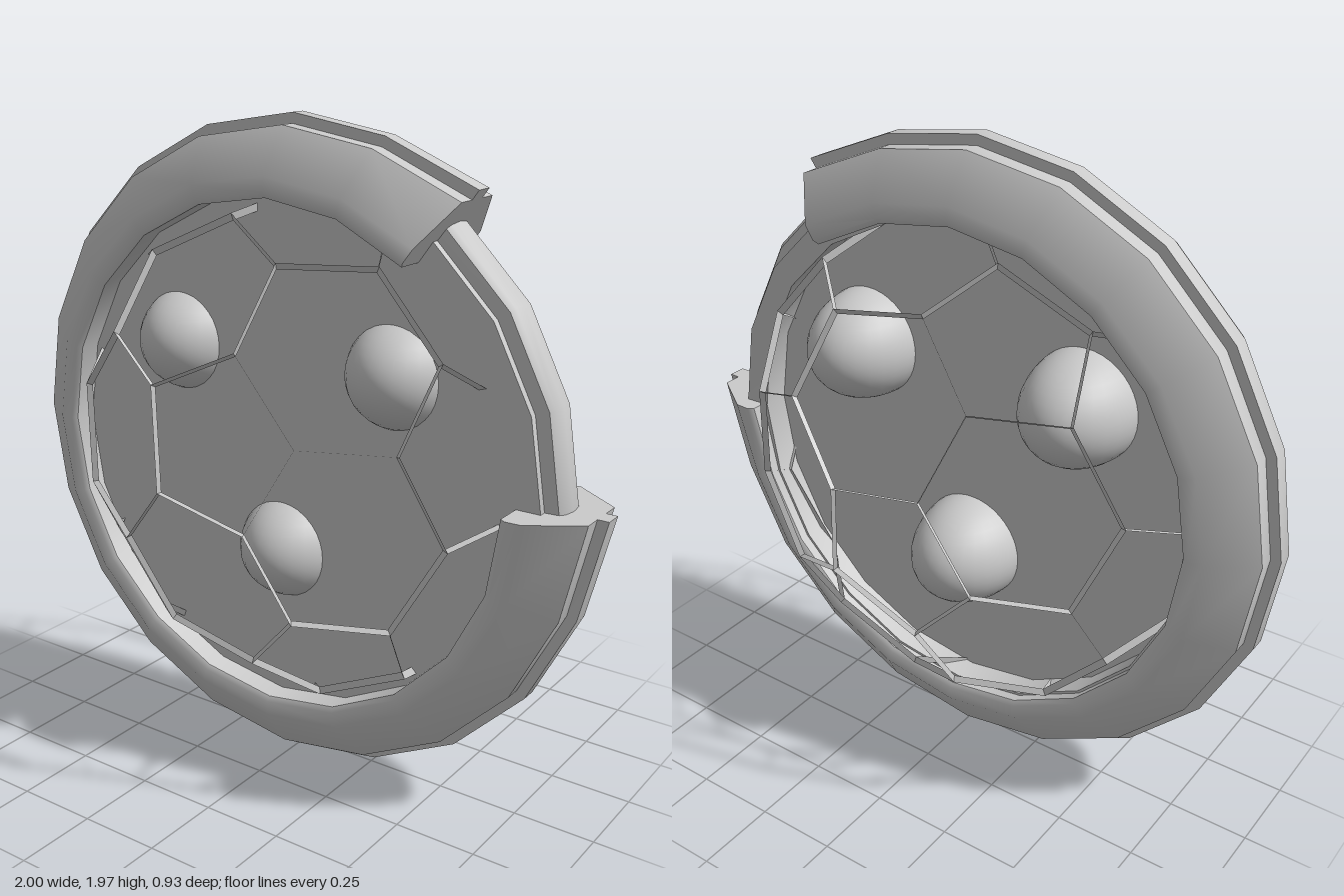
import * as THREE from 'three';
import { toCreasedNormals } from 'three/addons/utils/BufferGeometryUtils.js';

const SIDES = 20;
const CX = -0.015, CY = 0.987, CZ = 0.022;
const deg = THREE.MathUtils.degToRad;

const material = new THREE.MeshStandardMaterial({ color: 0xcccccc });
const thin = new THREE.MeshStandardMaterial({ color: 0xcccccc, side: THREE.DoubleSide });

function add(parent, name, geometry, mat = material) {
  const mesh = new THREE.Mesh(geometry, mat);
  mesh.name = name;
  parent.add(mesh);
  return mesh;
}

// Cross-section points are [radius, z], outer side running from back to front.
const toVectors = (pts) => pts.map(([r, z]) => new THREE.Vector2(r, z));
const mirrored = (half) => [...half.map(([r, z]) => [r, -z]), ...half.slice().reverse()];

// Broken outer rim: 17 of 20 segments, slightly flared at both ends.
function buildRim(parent) {
  const half = [[0.765, 0.155], [0.78, 0.166], [0.825, 0.164], [0.956, 0.075], [0.956, 0.025], [0.987, 0.025]];
  const outline = toVectors(mirrored(half));
  const flared = outline.map((v) => new THREE.Vector2(v.x * 1.08 - 0.054, v.y * 1.1));
  const closed = [...outline, outline[0]];
  const segments = 17, start = 54;
  const rim = new THREE.LatheGeometry(closed, segments, deg(start + 90), deg(segments * 18));
  const p = rim.attributes.position;
  for (const ring of [0, segments]) {
    const phi = deg(start + 90 + ring * 18);
    closed.forEach((_, j) => {
      const v = flared[j % flared.length];
      p.setXYZ(ring * closed.length + j, v.x * Math.sin(phi), v.y, v.x * Math.cos(phi));
    });
  }
  rim.rotateX(Math.PI / 2);
  add(parent, 'outerRim', toCreasedNormals(rim, 0.7));

  for (const angle of [start, 360]) {
    const cap = new THREE.ShapeGeometry(new THREE.Shape(flared));
    cap.rotateX(Math.PI / 2).rotateZ(deg(angle));
    add(parent, 'rimEnd', cap, thin);
  }
}

// Full inner ring with a rounded tread, seen through the break in the rim.
function buildInnerRing(parent) {
  const pts = toVectors([
    [0.757, -0.125], [0.835, -0.13], [0.845, -0.055], [0.885, -0.052], [0.897, -0.035], [0.903, 0],
    [0.903, 0.01], [0.897, 0.045], [0.885, 0.06], [0.845, 0.064], [0.757, 0.064], [0.757, -0.125],
  ]);
  const ring = new THREE.LatheGeometry(pts, SIDES).rotateX(Math.PI / 2);
  add(parent, 'innerRing', toCreasedNormals(ring, 0.7));
}

// Squashed truncated-icosahedron cage made of thin radial strips.
function buildCage(parent) {
  const corners = [new THREE.Vector3(0, 0, 1), new THREE.Vector3(0, 0, -1)];
  const roll = 79;
  const lean = new THREE.Euler(-deg(10), deg(1.4), 0);
  const scale = new THREE.Vector3(0.895, 0.895, 0.549);
  for (let k = 0; k < 5; k++) {
    for (const s of [1, -1]) {
      const a = deg(roll + 72 * k + (s < 0 ? 36 : 0));
      corners.push(new THREE.Vector3(2 * Math.cos(a), 2 * Math.sin(a), s).divideScalar(Math.sqrt(5)));
    }
  }
  const nodes = [];
  for (const a of corners) {
    for (const b of corners) {
      const d = a.distanceTo(b);
      if (d > 0.1 && d < 1.1) nodes.push(a.clone().lerp(b, 1 / 3));
    }
  }
  const shape = (v) => v.clone().applyEuler(lean).multiply(scale);
  const positions = [];
  for (let i = 0; i < nodes.length; i++) {
    for (let j = i + 1; j < nodes.length; j++) {
      if (nodes[i].distanceTo(nodes[j]) > 0.36) continue;
      const a = shape(nodes[i]), b = shape(nodes[j]);
      const c = a.clone().multiplyScalar(0.97), d = b.clone().multiplyScalar(0.97);
      for (const v of [a, b, d, a, d, c]) positions.push(v.x, v.y, v.z);
    }
  }
  const geometry = new THREE.BufferGeometry();
  geometry.setAttribute('position', new THREE.Float32BufferAttribute(positions, 3));
  geometry.computeVertexNormals();
  add(parent, 'cage', geometry, thin);
}

export function createModel() {
  const model = new THREE.Group();
  model.name = 'shield';

  const frame = new THREE.Group();
  frame.name = 'frame';
  frame.position.set(CX, CY, CZ);
  model.add(frame);
  buildRim(frame);
  buildInnerRing(frame);

  const core = new THREE.Group();
  core.name = 'core';
  core.position.set(CX, CY, 0);
  model.add(core);

  // Flat plate filling the ring
  const plate = new THREE.CylinderGeometry(0.845, 0.845, 0.13, SIDES).rotateX(Math.PI / 2);
  add(core, 'plate', toCreasedNormals(plate, 0.7)).position.z = 0.043;

  // Three egg-shaped studs passing through the plate
  for (const [x, y] of [[-0.376, 0.298], [0.378, 0.298], [0.002, -0.296]]) {
    const stud = add(core, 'stud', new THREE.SphereGeometry(0.171, 32, 20));
    stud.scale.z = 1.39;
    stud.position.set(x, y, -0.008);
  }

  buildCage(core);
  return model;
}
